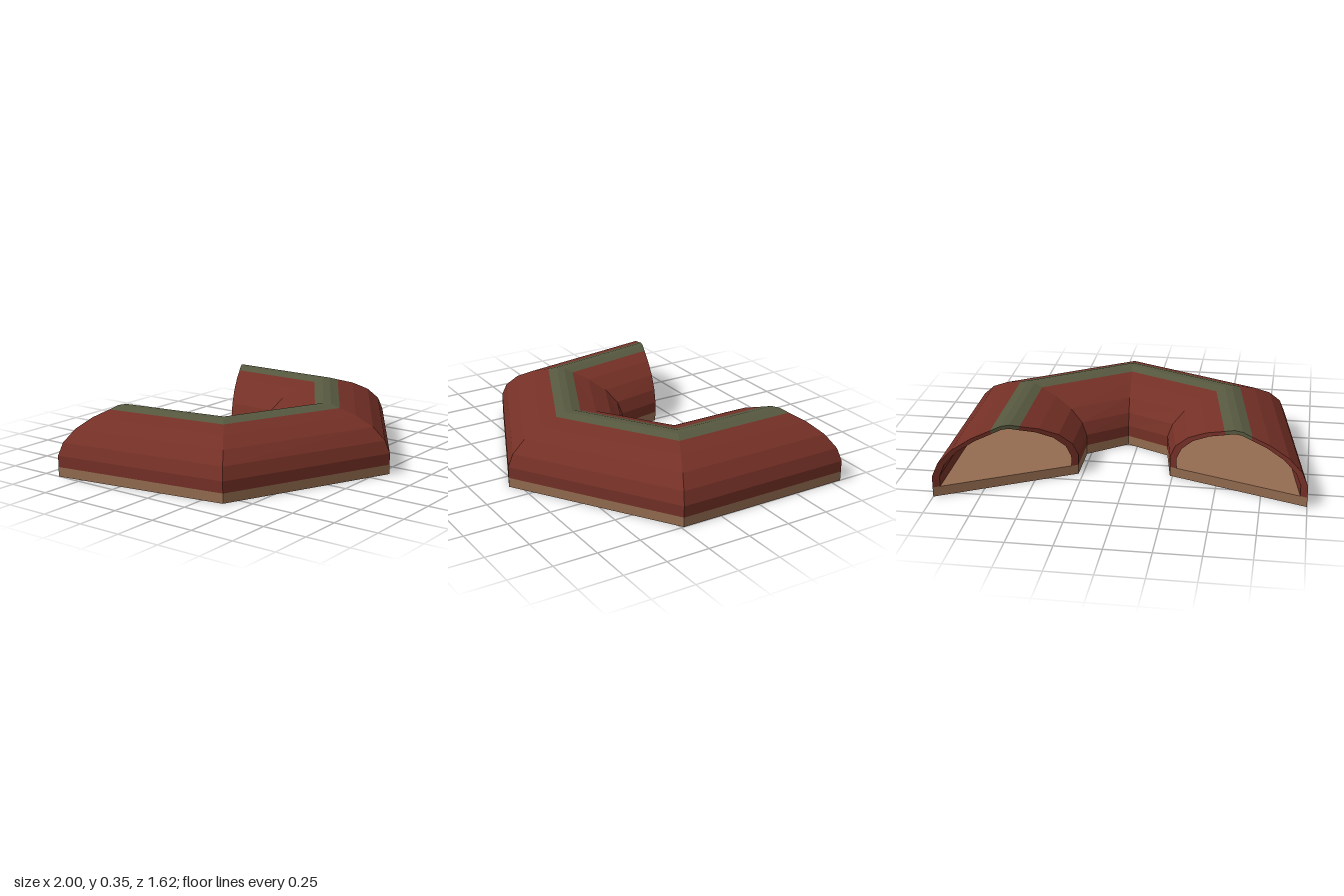
import * as THREE from 'three';

// Plan of the bent tunnel: [outer x, outer z, inner x, inner z] at each mitred joint
const STATIONS = [
  [-1.0, -0.65, -0.235, -0.375],
  [-0.84, 0.375, -0.19, -0.11],
  [0.12, 0.805, 0.055, 0.01],
  [1.0, 0.235, 0.275, -0.155],
  [1.0, -0.81, 0.275, -0.42],
];
const BASE = 0.055;

// Half of the arch: [fraction across the width, height], mirrored for the other half
const HALF = [[0, BASE], [0, 0.12], [0.04, 0.19], [0.135, 0.257], [0.27, 0.308], [0.4, 0.338], [0.47, 0.355]];
const mirror = (half) => [...half, ...half.map(([t, y]) => [1 - t, y]).reverse()];
const OUTER = mirror(HALF);
const INNER = OUTER.map(([t, y]) => [0.5 + (t - 0.5) * 0.9, BASE + (y - BASE) * 0.93]);

// Point of the cross-section at a station
function at(s, [t, y]) {
  const [ox, oz, ix, iz] = STATIONS[s];
  return [ox + (ix - ox) * t, y, oz + (iz - oz) * t];
}

// Flat quads a-b-c-d joined in one faceted mesh
function quadMesh(name, quads, material) {
  const positions = [];
  for (const [a, b, c, d] of quads) positions.push(...a, ...b, ...c, ...a, ...c, ...d);
  const geometry = new THREE.BufferGeometry();
  geometry.setAttribute('position', new THREE.Float32BufferAttribute(positions, 3));
  geometry.computeVertexNormals();
  const mesh = new THREE.Mesh(geometry, material);
  mesh.name = name;
  return mesh;
}

// Sweep part of a section along all stations
function sweep(section, from, to, inward) {
  const quads = [];
  for (let s = 0; s < STATIONS.length - 1; s++) {
    for (let i = from; i < to; i++) {
      const q = [at(s, section[i]), at(s + 1, section[i]), at(s + 1, section[i + 1]), at(s, section[i + 1])];
      quads.push(inward ? q.reverse() : q);
    }
  }
  return quads;
}

// Wall thickness seen at both open ends
function rims(from, to) {
  const quads = [];
  for (const s of [0, STATIONS.length - 1]) {
    for (let i = from; i < to; i++) {
      const q = [at(s, OUTER[i]), at(s, OUTER[i + 1]), at(s, INNER[i + 1]), at(s, INNER[i])];
      quads.push(s ? q.reverse() : q);
    }
  }
  return quads;
}

export function createModel() {
  const paint = (name, color) => {
    const m = new THREE.MeshStandardMaterial({ color, side: THREE.DoubleSide });
    m.name = name;
    return m;
  };
  const red = paint('brick red', 0x743026);
  const green = paint('moss green', 0x57583f);
  const tan = paint('tan', 0x946c50);

  const group = new THREE.Group();
  group.name = 'bentTunnel';

  // Arched shell: two red sides and a green ridge stripe
  const last = OUTER.length - 1;
  const parts = [
    ['outerSide', 0, 5, red],
    ['ridgeStripe', 5, last - 5, green],
    ['innerSide', last - 5, last, red],
  ];
  for (const [name, from, to, material] of parts) {
    group.add(quadMesh(name, [
      ...sweep(OUTER, from, to, false),
      ...sweep(INNER, from, to, true),
      ...rims(from, to),
    ], material));
  }

  // Floor slab under the whole tunnel
  const slab = [[0, 0], [0, BASE], [1, BASE], [1, 0], [0, 0]];
  const end = STATIONS.length - 1;
  group.add(quadMesh('floorSlab', [
    ...sweep(slab, 0, 4, false),
    [0, 1, 2, 3].map((i) => at(0, slab[i])),
    [3, 2, 1, 0].map((i) => at(end, slab[i])),
  ], tan));

  return group;
}
